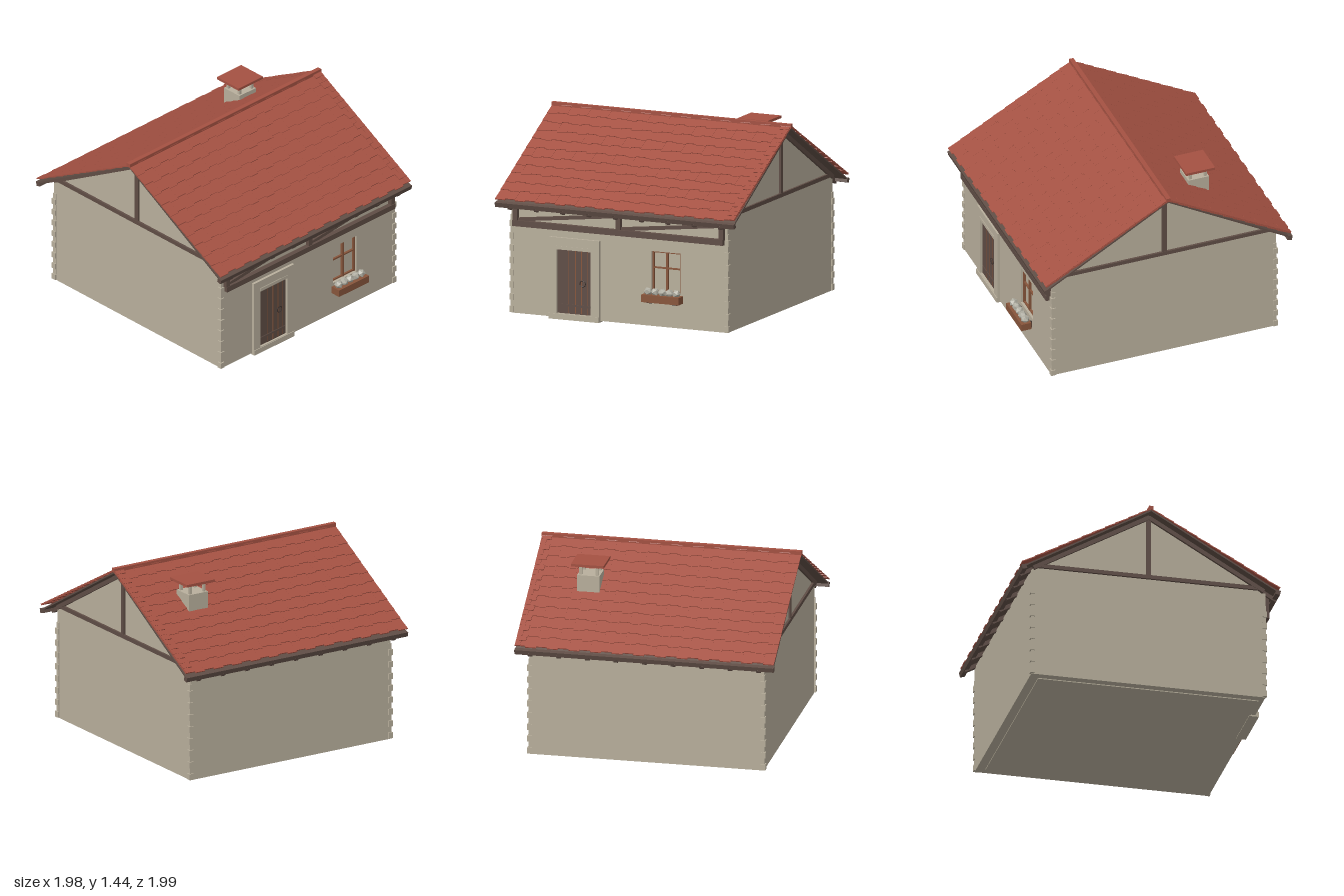
import * as THREE from 'three';
import { mergeGeometries } from 'three/addons/utils/BufferGeometryUtils.js';

const mat = (name, color, side = THREE.FrontSide) => {
  const m = new THREE.MeshStandardMaterial({ color, side });
  m.name = name;
  return m;
};

export function createModel() {
  const house = new THREE.Group();
  house.name = 'cottage';
  const plaster = mat('plaster', 0xb8af9c);
  const tile = mat('roofTile', 0xa45142);
  const wood = mat('darkWood', 0x5f4d45);
  const brown = mat('brownWood', 0x87553b);
  const bloom = mat('flowerGrey', 0xb0aea2);
  const iron = mat('iron', 0x3a302c);

  const add = (name, geo, material) => {
    const m = new THREE.Mesh(geo, material);
    m.name = name;
    house.add(m);
    return m;
  };
  const boxGeo = (w, h, d, x, y, z, rx = 0, rz = 0) =>
    new THREE.BoxGeometry(w, h, d).rotateX(rx).rotateZ(rz).translate(x, y, z);
  // box given by its min and max on each axis
  const span = (x0, x1, y0, y1, z0, z1) =>
    boxGeo(x1 - x0, y1 - y0, z1 - z0, (x0 + x1) / 2, (y0 + y1) / 2, (z0 + z1) / 2);
  const rectHole = (shape, x0, x1, y0, y1) => shape.holes.push(new THREE.Path([
    [x0, y0], [x0, y1], [x1, y1], [x1, y0]].map(p => new THREE.Vector2(...p))));
  const polygon = pts => new THREE.Shape(pts.map(p => new THREE.Vector2(...p)));

  // --- Walls: gabled core plus a front wall with door and window openings
  const W = 0.893;
  const core = polygon([[-0.897, 0.012], [0.86, 0.012], [0.86, 0.87], [0, 1.385], [-0.86, 0.89], [-0.897, 0.865]]);
  add('gabledWalls', new THREE.ExtrudeGeometry(core, { depth: 2 * W, bevelEnabled: false })
    .rotateY(-Math.PI / 2).translate(W, 0, 0), plaster);
  const front = polygon([[-W, 0.012], [W, 0.012], [W, 0.865], [-W, 0.865]]);
  rectHole(front, -0.51, -0.23, 0.045, 0.53);
  rectHole(front, 0.262, 0.505, 0.27, 0.58);
  add('frontWall', new THREE.ExtrudeGeometry(front, { depth: 0.037, bevelEnabled: false })
    .translate(0, 0, 0.86), plaster);
  add('floorSlab', span(-0.83, 0.83, 0.005, 0.02, -0.83, 0.86), plaster);

  // --- Corner stones, alternating long and short
  const stones = [];
  for (const sx of [-1, 1]) for (const sz of [-1, 1]) {
    for (let i = 0; i < 16; i++) {
      const big = i % 2 === 0, s = big ? 0.036 : 0.028, out = big ? 0.907 : 0.899;
      stones.push(boxGeo(s, 0.046, s, sx * (out - s / 2), 0.04 + i * 0.0465, sz * (out - s / 2)));
    }
  }
  add('cornerStones', mergeGeometries(stones), plaster);

  // --- Door with surround, step, plank joints, strap and ring
  const surround = polygon([[-0.575, 0.03], [-0.16, 0.03], [-0.16, 0.62], [-0.575, 0.62]]);
  rectHole(surround, -0.51, -0.23, 0.045, 0.53);
  add('doorSurround', new THREE.ExtrudeGeometry(surround, { depth: 0.025, bevelEnabled: false })
    .translate(0, 0, 0.893), plaster);
  add('doorLintel', span(-0.512, -0.226, 0.53, 0.556, 0.9, 0.922), plaster);
  add('doorStep', span(-0.575, -0.16, 0, 0.042, 0.85, 0.924), plaster);
  add('door', span(-0.51, -0.23, 0.042, 0.532, 0.855, 0.9), wood);
  for (const x of [-0.423, -0.362, -0.312, -0.262])
    add('plankJoint', span(x - 0.003, x + 0.003, 0.05, 0.528, 0.896, 0.902), brown);
  add('doorStrap', span(-0.5, -0.24, 0.1, 0.116, 0.896, 0.905), wood);
  add('doorRing', new THREE.TorusGeometry(0.023, 0.003, 6, 20).translate(-0.3, 0.282, 0.907), iron);

  // --- Window bars
  for (const x of [0.27, 0.383, 0.497])
    add('windowUpright', span(x - 0.007, x + 0.007, 0.27, 0.578, 0.862, 0.88), brown);
  for (const y of [0.277, 0.455, 0.575])
    add('windowCrossbar', span(0.264, 0.503, y - 0.006, y + 0.005, 0.862, 0.878), brown);

  // --- Flower box
  add('flowerBox', span(0.226, 0.536, 0.208, 0.264, 0.92, 1), brown);
  for (const x of [0.272, 0.483]) {
    add('boxBracket', span(x - 0.01, x + 0.01, 0.19, 0.24, 0.893, 0.935), iron);
    add('boxArm', span(x - 0.01, x + 0.01, 0.2, 0.209, 0.893, 0.98), iron);
  }
  for (let i = 0; i < 5; i++) {
    const f = add('flower', new THREE.IcosahedronGeometry(0.034, 0).toNonIndexed(), bloom);
    f.geometry.computeVertexNormals();
    f.position.set(0.265 + i * 0.058, 0.283, 0.955);
    f.rotation.y = i * 0.7;
  }

  // --- Timber frame under the front eave
  add('frontBeam', span(-0.87, 0.87, 0.678, 0.722, 0.89, 0.935), wood);
  add('frontTopBeam', span(-0.87, 0.87, 0.82, 0.86, 0.89, 0.93), wood);
  for (const x of [-0.852, 0, 0.852])
    add('frontPost', span(x - 0.019, x + 0.019, 0.72, 0.83, 0.89, 0.93), wood);
  for (const x of [-0.43, 0.42])
    add('frontBrace', boxGeo(0.83, 0.027, 0.022, x, 0.773, 0.904, 0, 0.115), wood);

  // --- Roof structure: rafters, deck, eave beams
  const rafterAngle = Math.atan(0.575), tileAngle = Math.atan(0.55);
  // a sloping box at distance t along the roof from its apex
  const sloped = (s, angle, apexY, w, h, len, x, t, tilt = 0) => boxGeo(w, h, len,
    x, apexY - t * Math.sin(angle), s * t * Math.cos(angle), s * (angle - tilt));
  for (const s of [-1, 1]) {
    const rafters = [];
    for (let i = 0; i < 9; i++)
      rafters.push(sloped(s, rafterAngle, 1.385, 0.035, 0.03, 1.13, -0.87 + i * 0.2175, 0.567));
    add('rafters', mergeGeometries(rafters), wood);
    add('roofDeck', sloped(s, rafterAngle, 1.41, 1.965, 0.012, 1.12, 0, 0.56), wood);
    add('eaveBeam', boxGeo(1.975, 0.036, 0.036, 0, 0.843, s * 0.972, s * 0.25), wood);
  }

  // --- Gable timbers on both ends
  for (const sx of [-1, 1]) {
    const x = sx * 0.892;
    add('gableTie', boxGeo(0.036, 0.03, 1.75, x, 0.898, 0), wood);
    add('gablePost', boxGeo(0.032, 0.5, 0.036, x, 1.15, 0), wood);
    for (const s of [-1, 1])
      add('gableRafter', sloped(s, rafterAngle, 1.388, 0.04, 0.036, 1.02, x, 0.51), wood);
  }

  // --- Overlapping tiles, staggered, with a stepped verge on one end
  const rows = 11, cols = 24, pitch = 0.1018, tw = 1.975 / cols;
  for (const s of [-1, 1]) {
    const tiles = [], verge = [];
    for (let r = 0; r < rows; r++) {
      const t = (r + 0.5) * pitch;
      for (let c = 0; c < cols; c++) {
        const up = (c + r) % 2 ? 0.012 : 0;
        tiles.push(sloped(s, tileAngle, 1.422, tw, 0.008, pitch + 0.012,
          -0.9875 + (c + 0.5) * tw, t - up, 0.05));
      }
      for (const k of [0, 1]) {
        const w = k ? 0.04 : 0.075;
        verge.push(sloped(s, tileAngle, 1.429, w, 0.009, pitch * 0.5,
          0.985 - w / 2, t + (k - 0.5) * pitch * 0.5, 0.05));
      }
    }
    add('roofTiles', mergeGeometries(tiles), tile);
    add('vergeTiles', mergeGeometries(verge), tile);
  }
  add('ridgeCap', boxGeo(1.98, 0.03, 0.034, 0, 1.429, 0), tile);

  // --- Chimney with a raised cap
  const cx = 0.537, cz = -0.385;
  add('chimneyStack', span(cx - 0.085, cx + 0.085, 1.05, 1.295, cz - 0.083, cz + 0.083), plaster);
  for (const sx of [-1, 1]) for (const sz of [-1, 1])
    add('chimneyPost', boxGeo(0.02, 0.08, 0.02, cx + sx * 0.062, 1.333, cz + sz * 0.06), plaster);
  add('chimneyCap', boxGeo(0.25, 0.02, 0.232, cx, 1.381, cz), tile);

  return house;
}
